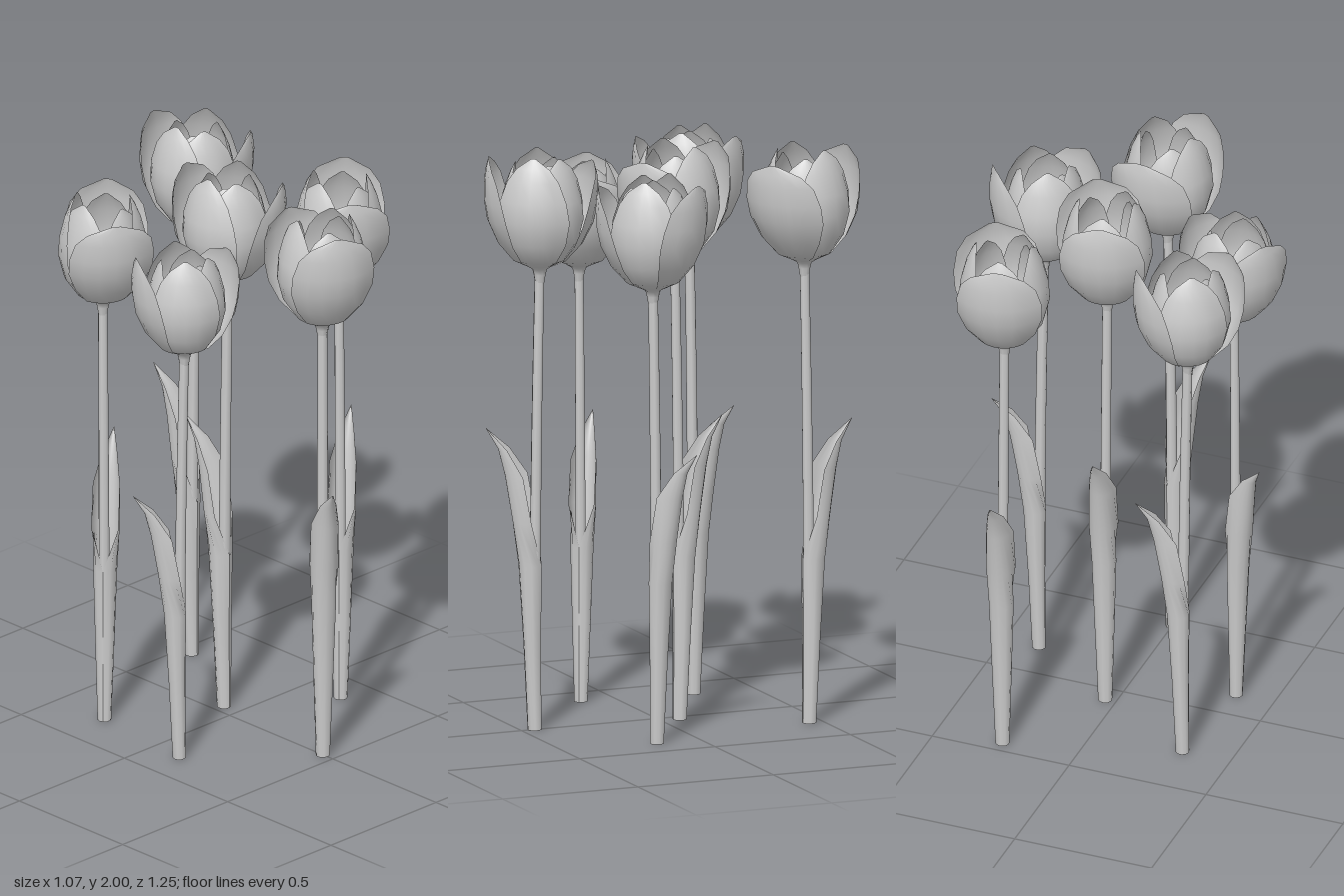
import * as THREE from 'three';

const material = new THREE.MeshStandardMaterial({ color: 0xcccccc, side: THREE.DoubleSide });
const rad = THREE.MathUtils.degToRad;

// Skin a grid of points: at(u, row) with u across (-1..1) and row counting upwards
function skin(across, along, at) {
  const pos = [], index = [], n = across + 1;
  for (let j = 0; j <= along; j++) {
    for (let i = 0; i <= across; i++) {
      pos.push(...at((i / across) * 2 - 1, j));
      if (i < across && j < along) {
        const a = j * n + i;
        index.push(a, a + 1, a + n, a + 1, a + n + 1, a + n);
      }
    }
  }
  const geo = new THREE.BufferGeometry();
  geo.setAttribute('position', new THREE.Float32BufferAttribute(pos, 3));
  geo.setIndex(index);
  geo.computeVertexNormals();
  return geo;
}

// Petal rows: radius, height, half angle
const PETAL = [
  [0.02, 0, 0.9], [0.09, 0.035, 0.92], [0.135, 0.1, 0.95], [0.155, 0.18, 0.95],
  [0.15, 0.25, 0.88], [0.132, 0.32, 0.75], [0.113, 0.365, 0.53], [0.094, 0.4, 0.08],
];

function petalGeometry({ angle, size = 1, flare = 0, tall = 1 }) {
  return skin(6, PETAL.length - 1, (u, row) => {
    const [r, y, half] = PETAL[row];
    const radius = r * size + flare * (y / 0.4) ** 1.5;
    const phi = Math.PI / 2 - rad(angle) + u * half;
    return [radius * Math.sin(phi), y * tall, radius * Math.cos(phi)];
  });
}

// Leaf rows: height, outward centre, half width, depth, half angle.
// Closed around the stem below, an open channel above, ending in a point.
const LEAF = [
  [0, 0, 0.024, 0.024, Math.PI], [0.3, 0.008, 0.034, 0.03, Math.PI],
  [0.57, 0.015, 0.042, 0.04, Math.PI], [0.72, 0.02, 0.05, 0.055, 1.9],
  [0.88, 0.017, 0.048, 0.085, 1.4], [0.97, 0.07, 0.03, 0.055, 1.2],
  [1.04, 0.165, 0.001, 0.003, 1],
];

function leafGeometry() {
  const geo = skin(10, LEAF.length - 1, (u, row) => {
    const [y, c, w, d, half] = LEAF[row];
    return [w * Math.sin(u * half), y, c + d * Math.cos(u * half)];
  });
  return geo.rotateY(Math.PI / 2 + rad(96.7));
}

const LEAN = 0.018, HEAD = 1.6;

// Gently bent, tapered stem
function stemGeometry() {
  const geo = new THREE.CylinderGeometry(0.017, 0.021, HEAD, 8, 8);
  geo.translate(0, HEAD / 2, 0);
  const p = geo.attributes.position;
  for (let i = 0; i < p.count; i++) {
    p.setZ(i, p.getZ(i) + LEAN * (p.getY(i) / HEAD) ** 2);
  }
  return geo;
}

const PETALS = [
  // outer petals, two of them opened out
  { angle: 57, flare: 0.095, tall: 0.91 },
  { angle: -103, flare: 0.08, tall: 0.965 },
  { angle: -22 }, { angle: 177 }, { angle: 117, size: 0.97, tall: 0.98 },
  // inner petals
  { angle: 20, size: 0.88, tall: 0.93 },
  { angle: 140, size: 0.88, tall: 0.93 },
  { angle: -100, size: 0.88, tall: 0.93 },
];

// Flowers: x, z, turn in degrees, scale
const FLOWERS = [
  [0.263, -0.45, 0, 1], [-0.325, -0.275, -63, 0.98], [0.04, -0.067, 0, 1],
  [-0.362, 0.125, 45, 0.943], [0.372, 0.16, -64, 0.98], [0, 0.452, 140.6, 1],
];

export function createModel() {
  const model = new THREE.Group();
  model.name = 'tulips';

  const stem = stemGeometry();
  const leaf = leafGeometry();
  const petals = PETALS.map(petalGeometry);
  const base = new THREE.LatheGeometry(
    [[0.016, -0.05], [0.021, -0.02], [0.026, 0], [0.05, 0.015]].map(([x, y]) => new THREE.Vector2(x, y)), 8);
  const pistil = new THREE.SphereGeometry(0.047, 12, 8);

  const add = (parent, name, geo) => {
    const mesh = new THREE.Mesh(geo, material);
    mesh.name = name;
    parent.add(mesh);
    return mesh;
  };

  for (const [x, z, turn, scale] of FLOWERS) {
    const tulip = new THREE.Group();
    tulip.name = 'tulip';
    tulip.position.set(x, 0, z);
    tulip.rotation.y = rad(turn);
    tulip.scale.setScalar(scale);
    add(tulip, 'stem', stem);
    add(tulip, 'leaf', leaf);

    const head = new THREE.Group();
    head.name = 'flowerHead';
    head.position.set(0, HEAD, LEAN);
    petals.forEach((geo) => add(head, 'petal', geo));
    add(head, 'flowerBase', base);
    add(head, 'pistil', pistil).position.y = 0.06;
    tulip.add(head);
    model.add(tulip);
  }
  return model;
}
